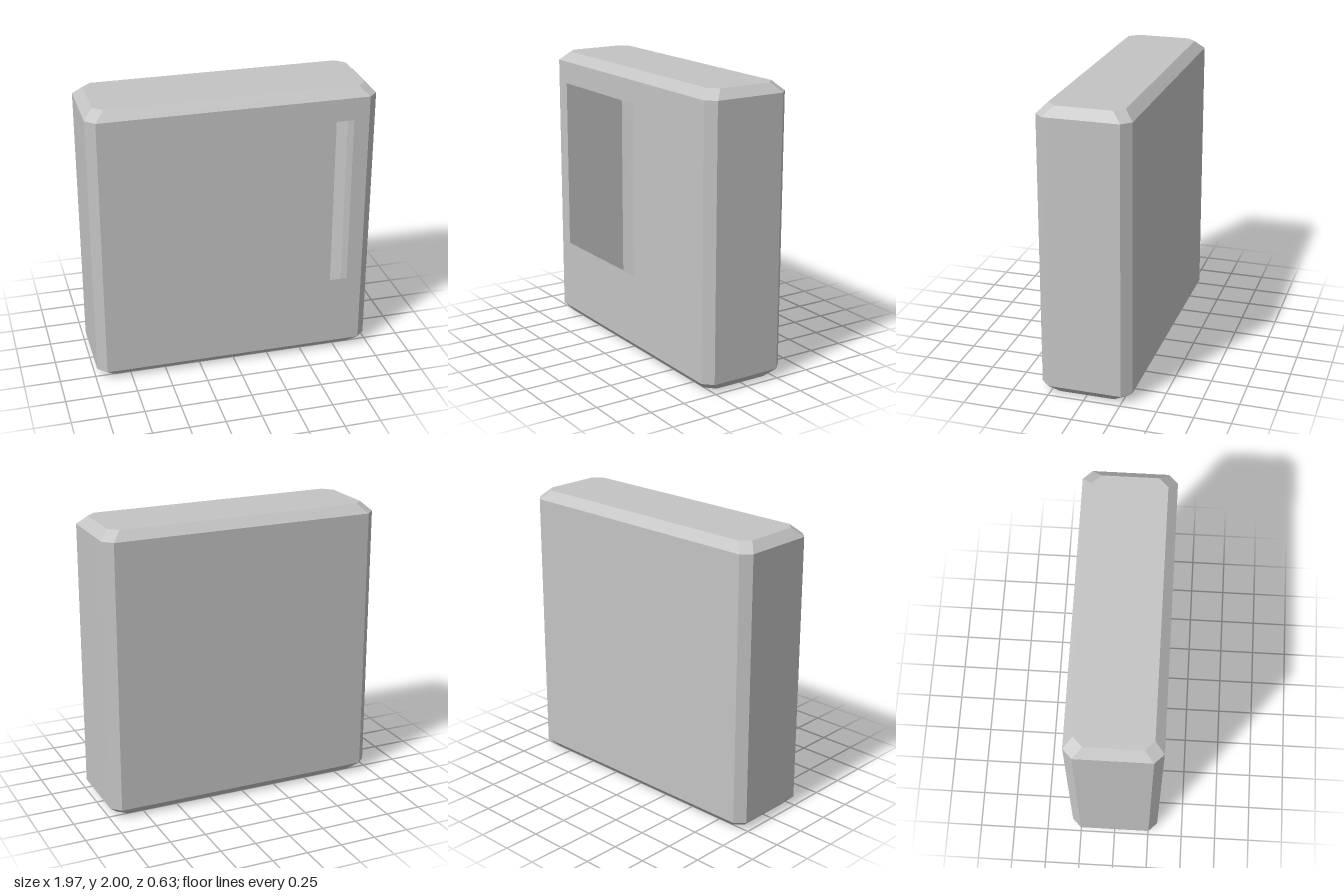
import * as THREE from 'three';

const W = 0.987, D = 0.314, H = 2, C = 0.062; // half width, half depth, height, bevel

// Rectangle with cut corners, as [x, z] pairs starting along the front edge
function octagon(w, d, c) {
  return [
    [-w + c, d], [w - c, d], [w, d - c], [w, -d + c],
    [w - c, -d], [-w + c, -d], [-w, -d + c], [-w, d - c],
  ];
}

const toVectors = (pts) => pts.map(([x, y]) => new THREE.Vector2(x, y));

// Band of flat quads joining two octagons, leaving out one side if asked
function band(lower, y0, upper, y1, skip = -1) {
  const pos = [];
  for (let i = 0; i < 8; i++) {
    if (i === skip) continue;
    const j = (i + 1) % 8;
    const a = [lower[i][0], y0, lower[i][1]], b = [lower[j][0], y0, lower[j][1]];
    const c = [upper[j][0], y1, upper[j][1]], d = [upper[i][0], y1, upper[i][1]];
    pos.push(...a, ...b, ...c, ...a, ...c, ...d);
  }
  const g = new THREE.BufferGeometry();
  g.setAttribute('position', new THREE.Float32BufferAttribute(pos, 3));
  g.computeVertexNormals();
  return g;
}

export function createModel() {
  const group = new THREE.Group();
  const grey = new THREE.MeshStandardMaterial({ color: 0xc4c4c4, side: THREE.DoubleSide });
  grey.name = 'casing grey';

  const add = (name, geometry) => {
    const mesh = new THREE.Mesh(geometry, grey);
    mesh.name = name;
    group.add(mesh);
    return mesh;
  };

  const outer = octagon(W, D, C);
  const inset = octagon(W - C, D - C, C);

  // Thin hollow casing with bevelled edges
  add('bottomBevel', band(inset, 0, outer, C));
  add('sideAndBackWalls', band(outer, C, outer, H - C, 0));
  add('topBevel', band(outer, H - C, inset, H));

  // Front wall with the large window opening
  const front = new THREE.Shape(toVectors([[-W + C, C], [W - C, C], [W - C, H - C], [-W + C, H - C]]));
  front.holes.push(new THREE.Path(toVectors([[-0.818, 0.568], [-0.818, 1.78], [0.818, 1.78], [0.818, 0.568]])));
  add('frontWall', new THREE.ShapeGeometry(front)).position.z = D;

  // Closed lid
  const lid = new THREE.ShapeGeometry(new THREE.Shape(toVectors(inset)));
  add('topPanel', lid.rotateX(-Math.PI / 2)).position.y = H;

  // Base with a central cut-cornered opening
  const base = new THREE.Shape(toVectors(inset));
  base.holes.push(new THREE.Path(toVectors(octagon(0.19, 0.19, 0.06))));
  add('bottomPanel', new THREE.ShapeGeometry(base).rotateX(Math.PI / 2));

  return group;
}
